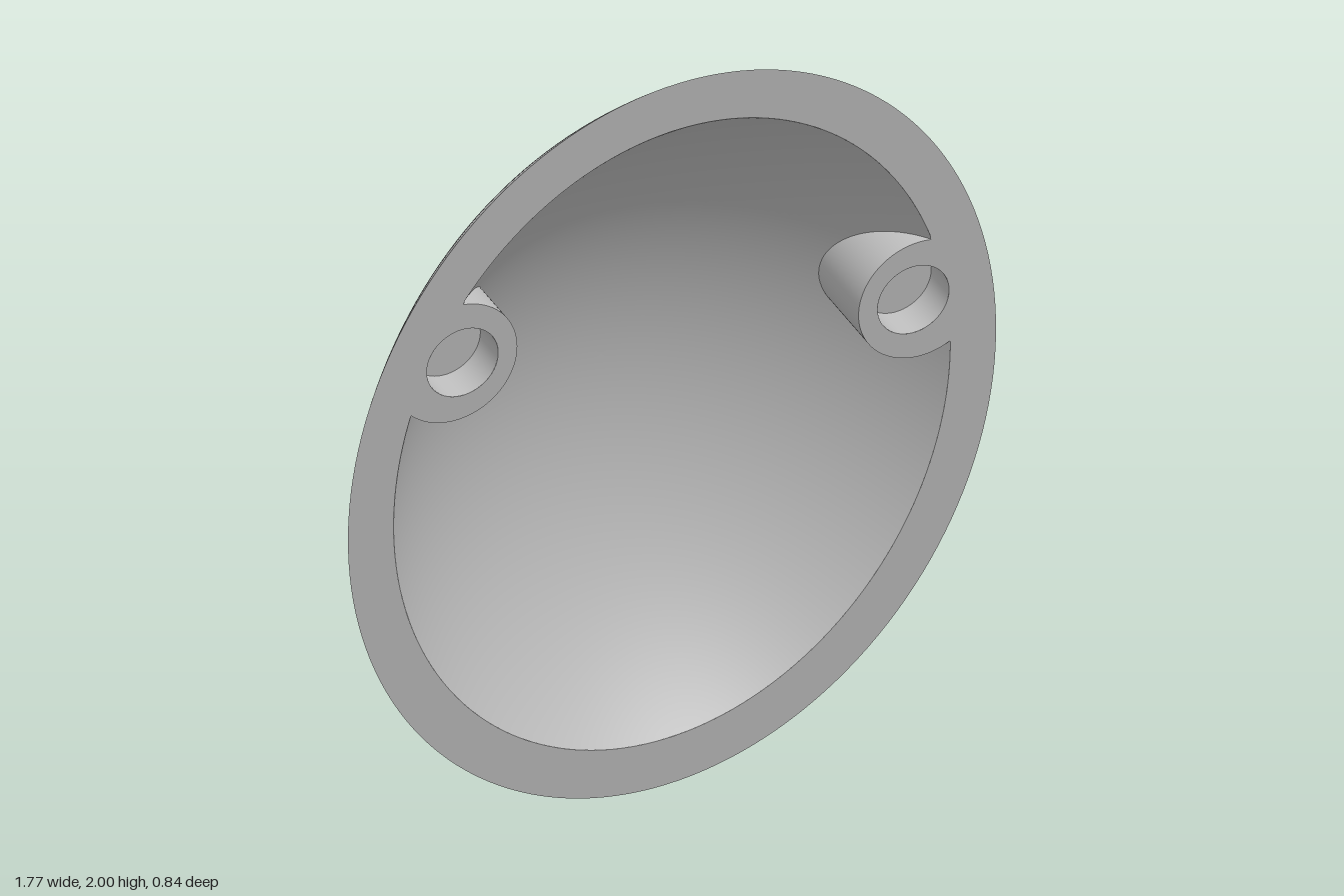
import * as THREE from 'three';

const TILT = Math.atan(0.3);                 // lean of the cut plane
const CENTRE = 0.84;                         // sphere centre in front of the cut plane
const OUTER = { rx: 0.885, ry: 1.044 };      // half axes on the cut plane
const INNER = { rx: 0.76, ry: 0.906 };
const BOSS = { x: 0.645, y: 0.297, r: 0.17 };
const HOLE = { x: 0.625, y: 0.297, r: 0.098, depth: 0.1 };

// Depth of an oval cap behind the cut plane
function capDepth({ rx, ry }, x, y) {
  const r2 = (x * ry / rx) ** 2 + y * y;
  return Math.max(0, Math.sqrt(Math.max(0, ry * ry + CENTRE * CENTRE - r2)) - CENTRE);
}

// Oval cap opening towards +z
function capGeometry({ rx, ry }, inward) {
  const R = Math.hypot(ry, CENTRE), edge = Math.asin(ry / R), points = [];
  for (let i = 0; i <= 48; i++) {
    const a = edge * (1 - i / 48);
    points.push(new THREE.Vector2(R * Math.sin(a), R * Math.cos(a) - CENTRE));
  }
  if (inward) points.reverse();
  const geo = new THREE.LatheGeometry(points, 160);
  geo.rotateX(-Math.PI / 2);
  geo.scale(rx / ry, 1, 1);
  return geo;
}

// Right half of the opening, bottom to top, bulging in around the boss
function openingHalf() {
  const before = [], after = [], arc = [];
  for (let i = 0; i <= 180; i++) {
    const t = -Math.PI / 2 + Math.PI * i / 180;
    const p = new THREE.Vector2(INNER.rx * Math.cos(t), INNER.ry * Math.sin(t));
    if (Math.hypot(p.x - BOSS.x, p.y - BOSS.y) > BOSS.r) (p.y < BOSS.y ? before : after).push(p);
  }
  for (let i = 0; i <= 160; i++) {
    const a = -Math.PI * 0.25 - 1.5 * Math.PI * i / 160;
    const p = new THREE.Vector2(BOSS.x + BOSS.r * Math.cos(a), BOSS.y + BOSS.r * Math.sin(a));
    if ((p.x / INNER.rx) ** 2 + (p.y / INNER.ry) ** 2 < 1) arc.push(p);
  }
  return [...before, ...arc, ...after];
}

// Flat rim with the opening and two pin holes
function rimGeometry() {
  const shape = new THREE.Shape();
  shape.absellipse(0, 0, OUTER.rx, OUTER.ry, 0, Math.PI * 2);
  const half = openingHalf();
  const mirrored = half.slice(1, -1).reverse().map(p => new THREE.Vector2(-p.x, p.y));
  shape.holes.push(new THREE.Path([...half, ...mirrored]));
  for (const s of [-1, 1]) {
    const hole = new THREE.Path();
    hole.absarc(s * HOLE.x, HOLE.y, HOLE.r, 0, Math.PI * 2);
    shape.holes.push(hole);
  }
  return new THREE.ShapeGeometry(shape, 80);
}

// Inside of the bowl, left open behind the pin holes
function bowlGeometry() {
  const geo = capGeometry(INNER, true), pos = geo.attributes.position, old = geo.index.array, kept = [];
  const atHole = i => Math.hypot(Math.abs(pos.getX(i)) - HOLE.x, pos.getY(i) - HOLE.y) < HOLE.r + 0.005;
  for (let i = 0; i < old.length; i += 3) {
    const tri = [old[i], old[i + 1], old[i + 2]];
    if (!tri.some(atHole)) kept.push(...tri);
  }
  geo.setIndex(kept);
  return geo;
}

// Boss side running back until it meets the bowl
function bossGeometry(s) {
  const geo = new THREE.CylinderGeometry(BOSS.r, BOSS.r, 1, 80, 1, true);
  geo.rotateX(Math.PI / 2);
  geo.translate(s * BOSS.x, BOSS.y, -0.5);
  const pos = geo.attributes.position;
  for (let i = 0; i < pos.count; i++) {
    pos.setZ(i, pos.getZ(i) < -0.5 ? -capDepth(INNER, pos.getX(i), pos.getY(i)) : 0);
  }
  return geo;
}

export function createModel() {
  const grey = new THREE.MeshStandardMaterial({ color: 0xbbbbbb, side: THREE.DoubleSide });
  grey.name = 'grey';
  const model = new THREE.Group();
  model.name = 'halfShell';
  const add = (name, geo) => {
    const mesh = new THREE.Mesh(geo, grey);
    mesh.name = name;
    model.add(mesh);
    return mesh;
  };

  add('outerShell', capGeometry(OUTER, false));
  add('innerBowl', bowlGeometry());
  add('rim', rimGeometry());

  // Pin bosses on both sides
  for (const [side, s] of [['left', 1], ['right', -1]]) {
    add(side + 'Boss', bossGeometry(s));
    const wall = new THREE.CylinderGeometry(HOLE.r, HOLE.r, HOLE.depth, 48, 1, true);
    wall.rotateX(Math.PI / 2);
    add(side + 'HoleWall', wall).position.set(s * HOLE.x, HOLE.y, -HOLE.depth / 2);
    add(side + 'HoleFloor', new THREE.CircleGeometry(HOLE.r, 48)).position.set(s * HOLE.x, HOLE.y, -HOLE.depth);
  }

  model.rotation.x = TILT;
  model.position.set(0, 1, 0.13);
  const root = new THREE.Group();
  root.name = 'model';
  root.add(model);
  return root;
}
